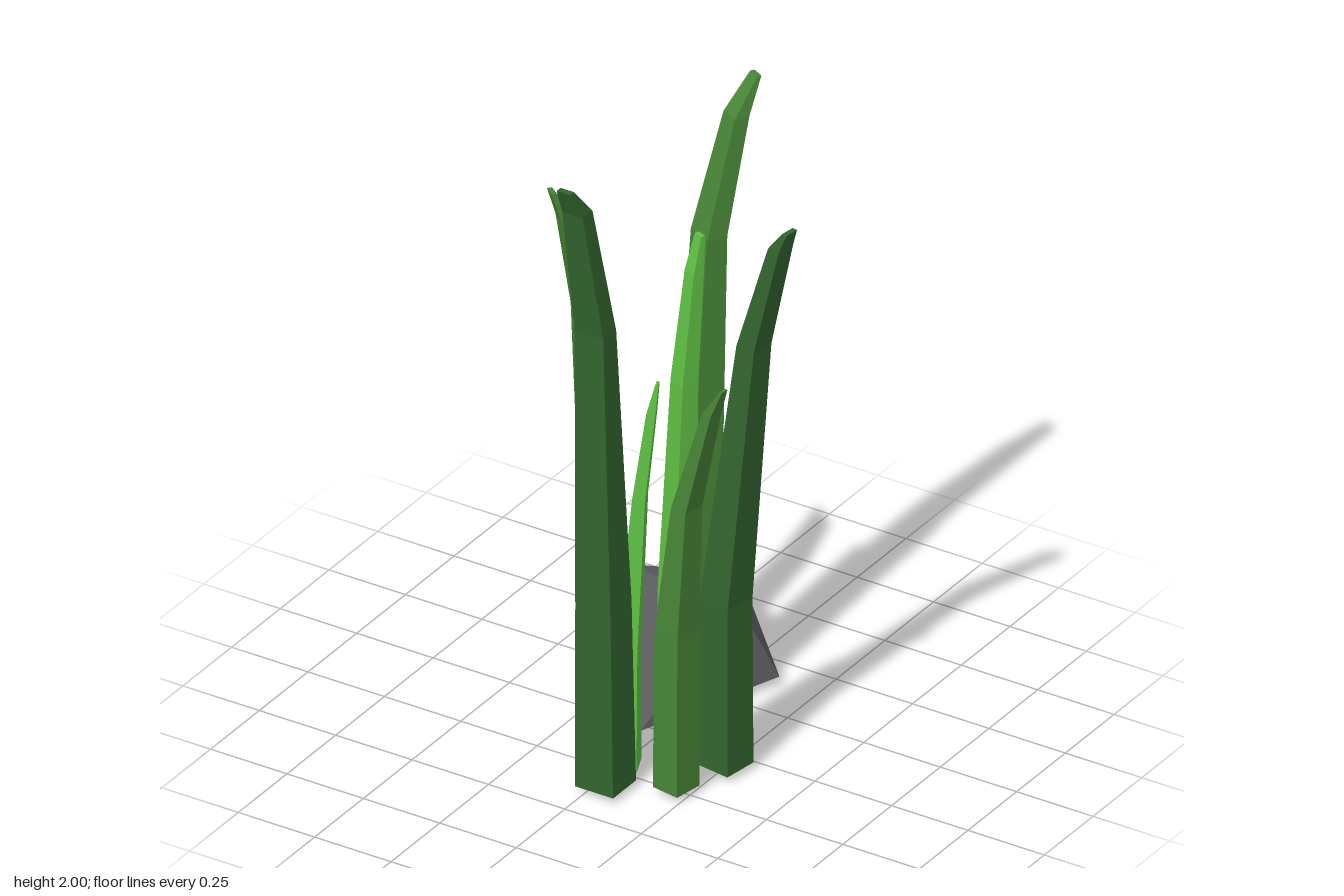
import * as THREE from 'three';
import { ConvexGeometry } from 'three/addons/geometries/ConvexGeometry.js';

const mat = (name, color) => {
  const m = new THREE.MeshStandardMaterial({ color });
  m.name = name;
  return m;
};

// A four-sided blade swept through sections [y, lean 0..1, width scale, depth scale].
// base and tip are [x, z] centres; facing is the [x, z] direction of its depth.
function bladeGeometry({ base, tip, width, depth, facing, rows }) {
  const lean = new THREE.Vector2(tip[0] - base[0], tip[1] - base[1]);
  const u = (facing ? new THREE.Vector2(...facing) : lean.clone()).normalize();
  const corners = [[1, 1], [1, -1], [-1, -1], [-1, 1]];
  const pos = [];
  const index = [];
  rows.forEach(([y, t, ws, ds], r) => {
    for (const [a, b] of corners) {
      const du = (a * depth * ds) / 2;
      const dv = (b * width * ws) / 2;
      pos.push(base[0] + lean.x * t + u.x * du - u.y * dv, y, base[1] + lean.y * t + u.y * du + u.x * dv);
    }
    if (r === 0) return;
    for (let i = 0; i < 4; i++) {
      const j = (i + 1) % 4;
      const lo = (r - 1) * 4;
      const hi = r * 4;
      index.push(lo + i, lo + j, hi + j, lo + i, hi + j, hi + i);
    }
  });
  const top = (rows.length - 1) * 4;
  index.push(2, 1, 0, 3, 2, 0, top, top + 1, top + 2, top, top + 2, top + 3);
  const g = new THREE.BufferGeometry();
  g.setAttribute('position', new THREE.Float32BufferAttribute(pos, 3));
  g.setIndex(index);
  const flat = g.toNonIndexed();
  flat.computeVertexNormals();
  return flat;
}

export function createModel() {
  const group = new THREE.Group();
  group.name = 'grassAndRock';
  const dark = mat('darkGreen', 0x33662f);
  const mid = mat('midGreen', 0x478537);
  const bright = mat('brightGreen', 0x5fc043);
  const stone = mat('stoneGrey', 0x5c5b5f);

  const add = (name, geometry, material) => {
    const mesh = new THREE.Mesh(geometry, material);
    mesh.name = name;
    group.add(mesh);
  };

  // Tall blades
  add('frontBlade', bladeGeometry({
    base: [0.037, 0.35], tip: [0.024, 0.535], width: 0.125, depth: 0.118, facing: [0, 1],
    rows: [[0.02, 0, 1, 1], [0.6, 0.05, 0.92, 0.92], [1.49, 0.25, 0.75, 0.56], [1.91, 0.7, 0.54, 0.42], [2, 1, 0.35, 0.17]],
  }), dark);
  add('backBlade', bladeGeometry({
    base: [0.029, -0.106], tip: [0.092, -0.335], width: 0.116, depth: 0.119, facing: [0.45, -0.89],
    rows: [[0.02, 0, 1, 1], [0.58, 0.05, 0.92, 0.9], [1.53, 0.27, 0.75, 0.55], [1.87, 0.7, 0.52, 0.4], [1.97, 1, 0.33, 0.12]],
  }), mid);
  add('leftDarkBlade', bladeGeometry({
    base: [0.255, 0.08], tip: [0.49, 0.115], width: 0.11, depth: 0.115,
    rows: [[0.02, 0, 1, 1], [0.55, 0.02, 0.95, 0.9], [1.4, 0.45, 0.68, 0.55], [1.75, 0.86, 0.55, 0.34], [1.81, 1, 0.4, 0.14]],
  }), dark);
  add('rightBlade', bladeGeometry({
    base: [-0.098, 0.12], tip: [-0.203, 0.25], width: 0.11, depth: 0.105,
    rows: [[0.02, 0, 1, 1], [0.5, 0.08, 0.92, 0.92], [1.4, 0.42, 0.68, 0.55], [1.7, 0.75, 0.52, 0.4], [1.79, 1, 0.33, 0.14]],
  }), mid);

  // Shorter blades
  add('leftShortBlade', bladeGeometry({
    base: [0.21, 0.258], tip: [0.39, 0.298], width: 0.093, depth: 0.09, facing: [0.985, 0.17],
    rows: [[0.02, 0, 1, 1], [0.52, 0.01, 0.95, 0.95], [0.93, 0.22, 0.75, 0.6], [1.27, 0.75, 0.5, 0.35], [1.36, 1, 0.25, 0.1]],
  }), mid);
  add('brightInnerBlade', bladeGeometry({
    base: [0.065, 0.03], tip: [0.096, -0.043], width: 0.085, depth: 0.09,
    rows: [[0.02, 0, 1, 1], [0.5, 0.06, 0.9, 0.9], [1.15, 0.34, 0.7, 0.58], [1.49, 0.76, 0.52, 0.38], [1.6, 1, 0.36, 0.15]],
  }), bright);
  add('brightShortBlade', bladeGeometry({
    base: [0.03, 0.234], tip: [0.103, 0.186], width: 0.08, depth: 0.073, facing: [0.92, -0.39],
    rows: [[0.02, 0, 1, 1], [0.4, 0.08, 0.9, 0.85], [0.88, 0.45, 0.65, 0.5], [1.15, 0.82, 0.45, 0.35], [1.24, 1, 0.25, 0.12]],
  }), bright);

  // Faceted rock
  const rockPoints = [
    [-0.505, 0.025, -0.44], [-0.08, 0.025, -0.548], [0.138, 0.03, -0.385],
    [-0.042, 0.012, 0.046], [-0.305, 0, -0.107],
    [-0.262, 0.37, -0.18], [-0.085, 0.212, -0.535], [0.05, 0.275, -0.31],
  ].map((p) => new THREE.Vector3(...p));
  add('rock', new ConvexGeometry(rockPoints), stone);

  return group;
}
